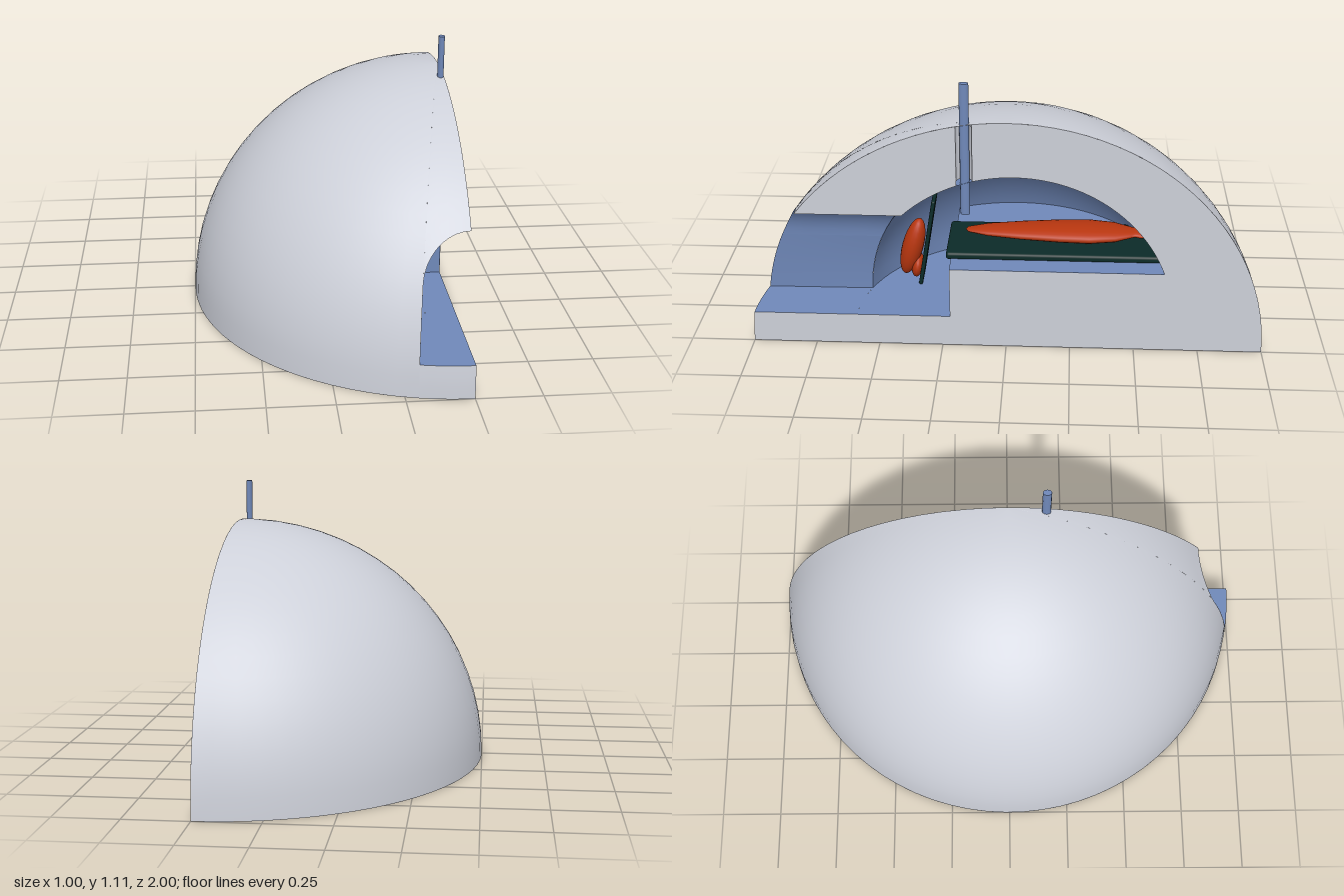
import * as THREE from 'three';
import { RoundedBoxGeometry } from 'three/addons/geometries/RoundedBoxGeometry.js';

const CUT = 0.5; // x of the section plane
const FLOOR = 0.13;
const OUTER = { y: 0, z: 0, r: 1, h: 0.96 };
const INNER = { y: FLOOR, z: -0.03, r: 0.615, h: 0.61 };
const BENCH_TOP = 0.34, BENCH_FRONT = 0.22;

function material(name, color, side = THREE.FrontSide) {
  const m = new THREE.MeshStandardMaterial({ color, side });
  m.name = name;
  return m;
}

// Surface from a rule fn(u, v) -> Vector3
function grid(nu, nv, fn) {
  const pos = [], idx = [];
  for (let i = 0; i <= nu; i++)
    for (let j = 0; j <= nv; j++) pos.push(...fn(i / nu, j / nv).toArray());
  for (let i = 0; i < nu; i++)
    for (let j = 0; j < nv; j++) {
      const a = i * (nv + 1) + j, b = a + nv + 1;
      idx.push(a, a + 1, b, b, a + 1, b + 1);
    }
  const g = new THREE.BufferGeometry();
  g.setAttribute('position', new THREE.Float32BufferAttribute(pos, 3));
  g.setIndex(idx);
  g.computeVertexNormals();
  return g;
}

// Point on a dome: phi runs from the front (0) round to the back (PI)
const onDome = (d, phi, theta) => new THREE.Vector3(
  CUT - d.r * Math.cos(theta) * Math.sin(phi),
  d.y + d.h * Math.sin(theta),
  d.z + d.r * Math.cos(theta) * Math.cos(phi));
const thetaAt = (d, y) => Math.asin((y - d.y) / d.h);

// Doorway arch, t = 0 at the crown and 1 at the springing, as dome angles
function arch(d, t) {
  const a = t * Math.PI / 2;
  const theta = thetaAt(d, 0.38 + 0.19 * Math.cos(a));
  return [Math.asin(0.185 * Math.sin(a) / (d.r * Math.cos(theta))), theta];
}

// Doorway edge on a dome: arch, then jamb, then threshold
function doorEdge(d, part, t) {
  if (part === 0) return onDome(d, ...arch(d, t));
  const [phi, theta] = arch(d, 1), low = thetaAt(d, FLOOR);
  return part === 1 ? onDome(d, phi, theta + (low - theta) * t) : onDome(d, phi * (1 - t), low);
}

// Arc points in the section plane, as (-z, y)
function arc(d, a0, a1, n = 28) {
  return Array.from({ length: n + 1 }, (_, i) => {
    const a = a0 + (a1 - a0) * i / n;
    return new THREE.Vector2(-d.z - d.r * Math.cos(a), d.y + d.h * Math.sin(a));
  });
}
const angleAtZ = (d, z) => Math.acos((z - d.z) / d.r);

export function createModel() {
  const model = new THREE.Group();
  const snow = material('snow', 0xcdd0d9, THREE.DoubleSide);
  const ice = material('blue interior', 0x7089ba, THREE.DoubleSide);
  const red = material('red fabric', 0xb8360f);
  const green = material('dark green mat', 0x0c2b28);

  function add(name, geometry, mat, parent = model) {
    const mesh = new THREE.Mesh(geometry, mat);
    mesh.name = name;
    parent.add(mesh);
    return mesh;
  }

  // Outer and inner half domes, each open at the doorway
  for (const [name, d, mat] of [['outerDome', OUTER, snow], ['innerDome', INNER, ice]]) {
    const phi0 = arch(d, 1)[0];
    add(name, grid(36, 18, (u, v) => onDome(d, phi0 + (Math.PI - phi0) * u, v * Math.PI / 2)), mat);
    add(name + 'OverDoor', grid(10, 14, (u, v) => {
      const [phi, theta] = arch(d, u);
      return onDome(d, phi, theta + (Math.PI / 2 - theta) * v);
    }), mat);
  }
  const doorPhi = arch(OUTER, 1)[0];
  add('doorSill', grid(6, 3, (u, v) => onDome(OUTER, doorPhi * u, thetaAt(OUTER, FLOOR) * v)), snow);

  // Entrance tunnel joining both domes
  ['tunnelVault', 'tunnelWall', 'tunnelFloor'].forEach((name, part) =>
    add(name, grid(10, 4, (u, v) => doorEdge(INNER, part, u).lerp(doorEdge(OUTER, part, u), v)), ice));

  // Flat section through the wall, base and bench, split by the vent
  const benchBack = Math.PI - thetaAt(INNER, BENCH_TOP);
  const rear = new THREE.Shape([
    ...arc(OUTER, 0, thetaAt(OUTER, FLOOR), 3),
    new THREE.Vector2(-BENCH_FRONT, FLOOR),
    new THREE.Vector2(-BENCH_FRONT, BENCH_TOP),
    ...arc(INNER, benchBack, angleAtZ(INNER, 0.125)),
    ...arc(OUTER, angleAtZ(OUTER, 0.125), Math.PI)]);
  const front = new THREE.Shape([
    ...arc(INNER, angleAtZ(INNER, 0.185), thetaAt(INNER, 0.57), 10),
    ...arc(OUTER, thetaAt(OUTER, 0.57), angleAtZ(OUTER, 0.185), 14)]);
  const section = add('sectionFace', new THREE.ShapeGeometry([rear, front]).rotateY(Math.PI / 2), snow);
  section.position.x = CUT;

  // Underside and room floor
  const underside = add('underside', new THREE.CircleGeometry(1, 48, Math.PI / 2, Math.PI).rotateX(Math.PI / 2), snow);
  underside.position.x = CUT;
  const floor = add('roomFloor', new THREE.CircleGeometry(INNER.r, 40, Math.PI / 2, Math.PI).rotateX(-Math.PI / 2), ice);
  floor.position.set(CUT, FLOOR, INNER.z);

  // Sleeping bench filling the back of the room
  const benchShape = new THREE.Shape();
  const a0 = Math.asin((BENCH_FRONT - INNER.z) / INNER.r);
  benchShape.moveTo(-0.001, -BENCH_FRONT + INNER.z);
  benchShape.lineTo(-0.001, INNER.r - 0.01);
  benchShape.absarc(0, 0, INNER.r - 0.005, Math.PI / 2 + 0.002, Math.PI + a0, false);
  const bench = add('bench', new THREE.ExtrudeGeometry(benchShape,
    { depth: BENCH_TOP - FLOOR, bevelEnabled: false, curveSegments: 24 }).rotateX(-Math.PI / 2), ice);
  bench.position.set(CUT, FLOOR, INNER.z);

  // Vent groove and pole
  const vent = add('ventGroove', new THREE.CylinderGeometry(0.03, 0.03, 0.22, 12, 1, true, Math.PI, Math.PI), snow);
  vent.position.set(CUT, 0.83, 0.155);
  const pole = add('ventPole', new THREE.CylinderGeometry(0.018, 0.018, 0.53, 12), ice);
  pole.scale.x = 0.7;
  pole.position.set(0.487, 0.845, 0.153);

  // Sleeping mat and sleeping bag
  const mat = add('sleepingMat', new RoundedBoxGeometry(0.275, 0.03, 0.84, 3, 0.012), green);
  mat.position.set(0.277, 0.35, -0.18);
  const profile = [[0, -0.17], [0.02, -0.16], [0.045, -0.08], [0.065, 0.05], [0.08, 0.2], [0.085, 0.32],
    [0.07, 0.42], [0.04, 0.485], [0.034, 0.5], [0.042, 0.525], [0.034, 0.55], [0, 0.562]]
    .map(p => new THREE.Vector2(...p));
  const bag = add('sleepingBag', new THREE.LatheGeometry(profile, 20).rotateX(-Math.PI / 2), red);
  bag.scale.y = 0.36;
  bag.position.set(0.268, 0.395, 0);

  // Pack leaning on a board by the entrance
  const gear = new THREE.Group();
  gear.name = 'leaningGear';
  gear.position.set(0.2, FLOOR, 0.36);
  gear.rotation.x = -0.16;
  model.add(gear);
  const board = add('board', new RoundedBoxGeometry(0.13, 0.385, 0.016, 2, 0.007), green, gear);
  board.position.y = 0.193;
  const pack = add('pack', new THREE.SphereGeometry(1, 20, 14), red, gear);
  pack.scale.set(0.05, 0.13, 0.043);
  pack.position.set(0, 0.138, 0.057);
  pack.rotation.x = -0.1;
  const roll = add('packRoll', new THREE.SphereGeometry(1, 16, 10), red, gear);
  roll.scale.set(0.05, 0.05, 0.025);
  roll.position.set(0, 0.055, 0.025);

  return model;
}
